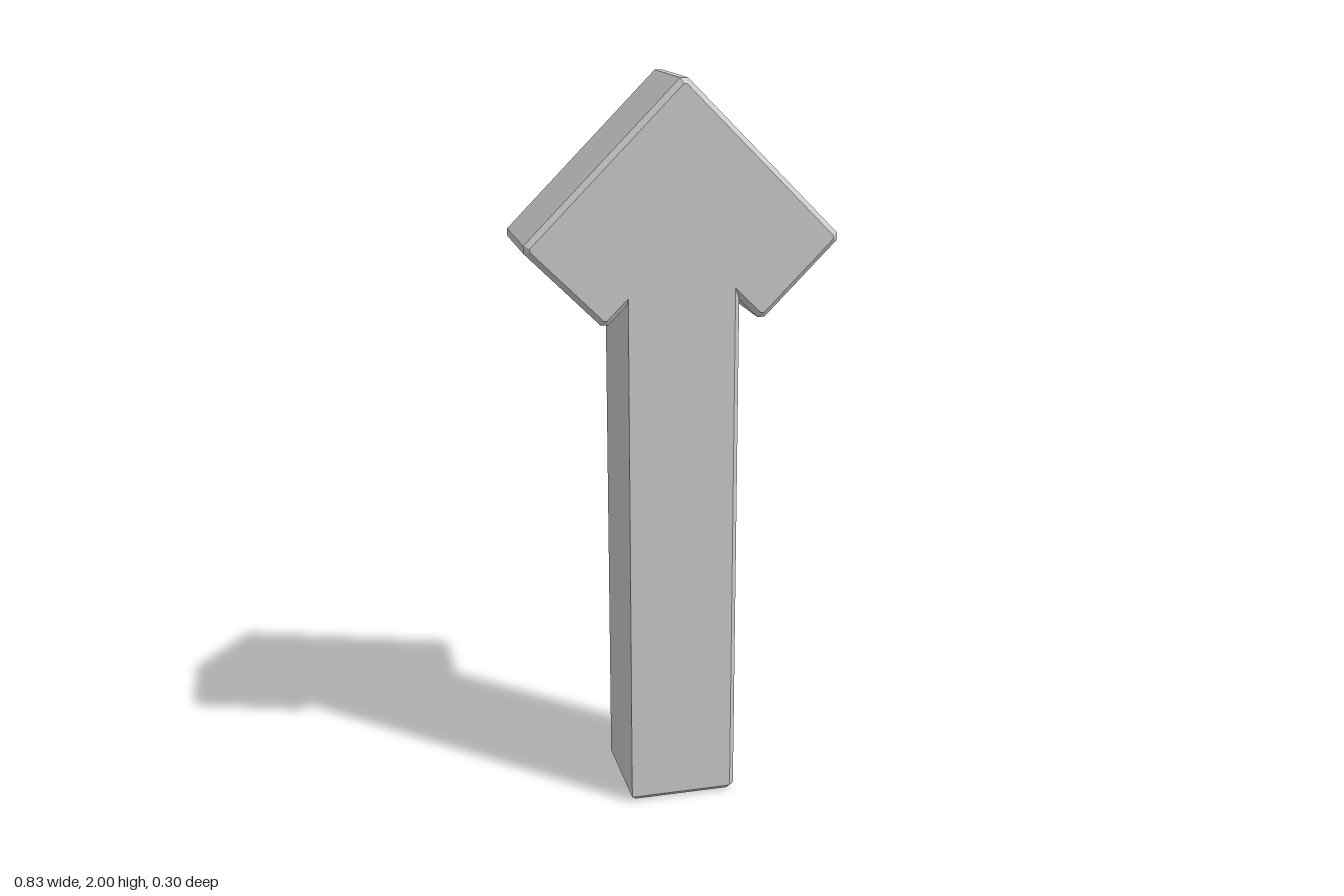
import * as THREE from 'three';

const BEVEL = 0.014;
const DEPTH = 0.3;

// Extrude an outline to a total length with a one-step chamfer on both ends.
function chamferedPrism(points, length) {
  const shape = new THREE.Shape(points.map(([x, y]) => new THREE.Vector2(x, y)));
  const geometry = new THREE.ExtrudeGeometry(shape, {
    depth: length - 2 * BEVEL,
    bevelEnabled: true,
    bevelSegments: 1,
    bevelSize: BEVEL,
    bevelOffset: -BEVEL,
    bevelThickness: BEVEL,
  });
  return geometry.translate(0, 0, BEVEL);
}

export function createModel() {
  const model = new THREE.Group();
  model.name = 'arrow';
  const material = new THREE.MeshStandardMaterial({ color: 0xcccccc, flatShading: true });

  const add = (name, geometry) => {
    const mesh = new THREE.Mesh(geometry, material);
    mesh.name = name;
    model.add(mesh);
  };

  // Arrowhead: two bars meeting at a right angle, outer corners clipped
  const right = [
    [0.01, 2.0],
    [0.415, 1.595], [0.415, 1.575],
    [0.22, 1.38], [0.20, 1.38],
  ];
  const left = right.map(([x, y]) => [-x, y]).reverse();
  const head = chamferedPrism([...left, ...right, [0, 1.58]].reverse(), DEPTH);
  add('arrowHead', head.translate(0, 0, -DEPTH / 2));

  // Shaft: square post with two opposite upright edges chamfered
  const h = DEPTH / 2;
  const c = h - BEVEL;
  const section = [
    [-h, -h], [c, -h], [h, -c],
    [h, h], [-c, h], [-h, c],
  ];
  const shaft = chamferedPrism(section, 1.7);
  add('shaft', shaft.rotateX(-Math.PI / 2));

  return model;
}
